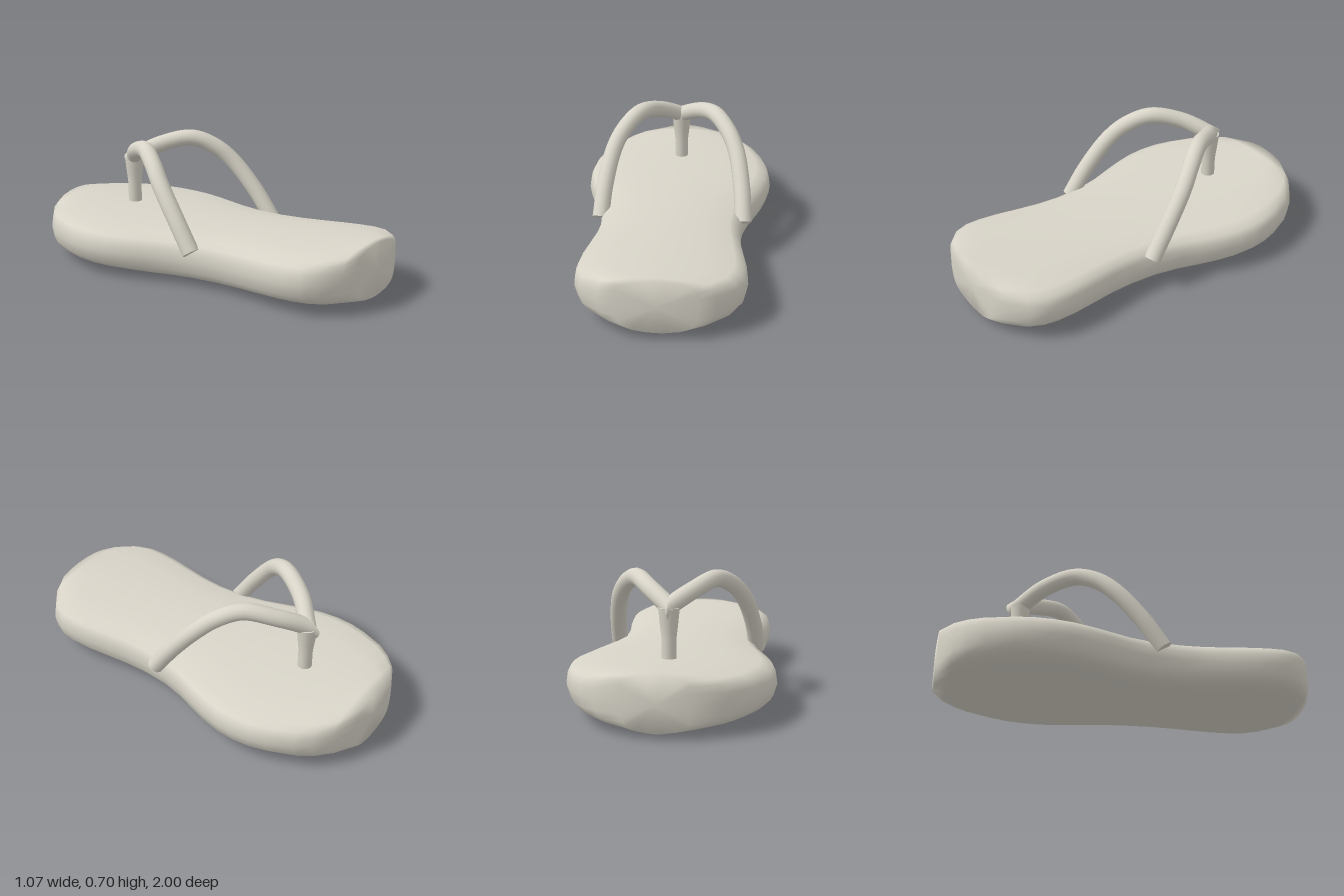
import * as THREE from 'three';

const rubber = new THREE.MeshStandardMaterial({ color: 0xd8d4c8 });
rubber.name = 'paleRubber';

// Sole outline: z position and half width, from toe to heel
const outline = [
  [-1, 0.175], [-0.935, 0.31], [-0.87, 0.385], [-0.79, 0.445], [-0.66, 0.502], [-0.57, 0.527],
  [-0.47, 0.536], [-0.37, 0.528], [-0.26, 0.5], [-0.15, 0.462], [-0.05, 0.425], [0.08, 0.393],
  [0.24, 0.381], [0.37, 0.388], [0.5, 0.407], [0.62, 0.425], [0.72, 0.43], [0.8, 0.422],
  [0.88, 0.385], [0.96, 0.29], [1, 0.205],
];

// Right half of the rounded cross-section, bottom to top: share of half width, height
const half = [
  [0.2, 0.002], [0.56, 0.012], [0.79, 0.03], [0.9, 0.052], [0.965, 0.085], [1, 0.145],
  [0.985, 0.195], [0.95, 0.232], [0.84, 0.257], [0.5, 0.273], [0.2, 0.279],
];

function soleGeometry() {
  const ring = [[0, 0], ...half, [0, 0.28], ...half.slice().reverse().map(([x, y]) => [-x, y])];
  const n = ring.length;
  const pos = [];
  const index = [];
  const lift = (z) => (z > 0 ? 0.037 : 0.027) * z * z;
  for (const [z, w] of outline) {
    for (const [x, y] of ring) pos.push(x * w, y + lift(z), z);
  }
  for (let i = 0; i < outline.length - 1; i++) {
    for (let j = 0; j < n; j++) {
      const a = i * n + j, b = i * n + (j + 1) % n;
      index.push(a, b, a + n, b, b + n, a + n);
    }
  }
  // Blunt toe and heel ends
  const toe = pos.length / 3;
  pos.push(0, 0.14 + lift(-1), -1, 0, 0.14 + lift(1), 1);
  const last = (outline.length - 1) * n;
  for (let j = 0; j < n; j++) {
    const k = (j + 1) % n;
    index.push(toe, k, j, toe + 1, last + j, last + k);
  }
  const g = new THREE.BufferGeometry();
  g.setAttribute('position', new THREE.Float32BufferAttribute(pos, 3));
  g.setIndex(index);
  g.computeVertexNormals();
  return g;
}

// One arched strap from the sole edge to the toe post
function strap(side) {
  const r = 0.046;
  const curve = new THREE.CatmullRomCurve3([
    [0.39, 0.2, 0.13], [0.375, 0.36, 0.02], [0.337, 0.52, -0.11], [0.285, 0.605, -0.2],
    [0.21, 0.655, -0.31], [0.11, 0.618, -0.46], [0, 0.55, -0.57], [-0.04, 0.52, -0.61],
  ].map(([x, y, z]) => new THREE.Vector3(x * side, y, z)));
  const group = new THREE.Group();
  group.name = side > 0 ? 'leftStrap' : 'rightStrap';

  // Trim the inner end on the centre plane, where both straps meet
  const tubeGeo = new THREE.TubeGeometry(curve, 48, r, 14);
  const p = tubeGeo.attributes.position;
  for (let i = 0; i < p.count; i++) if (p.getX(i) * side < 0) p.setX(i, 0);
  const tube = new THREE.Mesh(tubeGeo, rubber);
  tube.name = 'strapTube';

  const cap = new THREE.Mesh(new THREE.CircleGeometry(r, 14), rubber);
  cap.name = 'strapEnd';
  const start = curve.getPointAt(0);
  cap.position.copy(start);
  cap.lookAt(start.clone().sub(curve.getTangentAt(0)));
  group.add(tube, cap);
  return group;
}

export function createModel() {
  const model = new THREE.Group();
  model.name = 'sandal';

  const sole = new THREE.Mesh(soleGeometry(), rubber);
  sole.name = 'sole';
  model.add(sole, strap(1), strap(-1));

  // Toe post, flared where it joins the straps
  const profile = [[0.038, 0.25], [0.038, 0.39], [0.046, 0.46], [0.055, 0.545]];
  const post = new THREE.Mesh(
    new THREE.LatheGeometry(profile.map(([x, y]) => new THREE.Vector2(x, y)), 16), rubber);
  post.name = 'toePost';
  post.position.z = -0.57;
  const postTop = new THREE.Mesh(new THREE.CircleGeometry(0.055, 16), rubber);
  postTop.name = 'toePostTop';
  postTop.rotation.x = -Math.PI / 2;
  postTop.position.set(0, 0.545, -0.57);
  model.add(post, postTop);
  return model;
}
